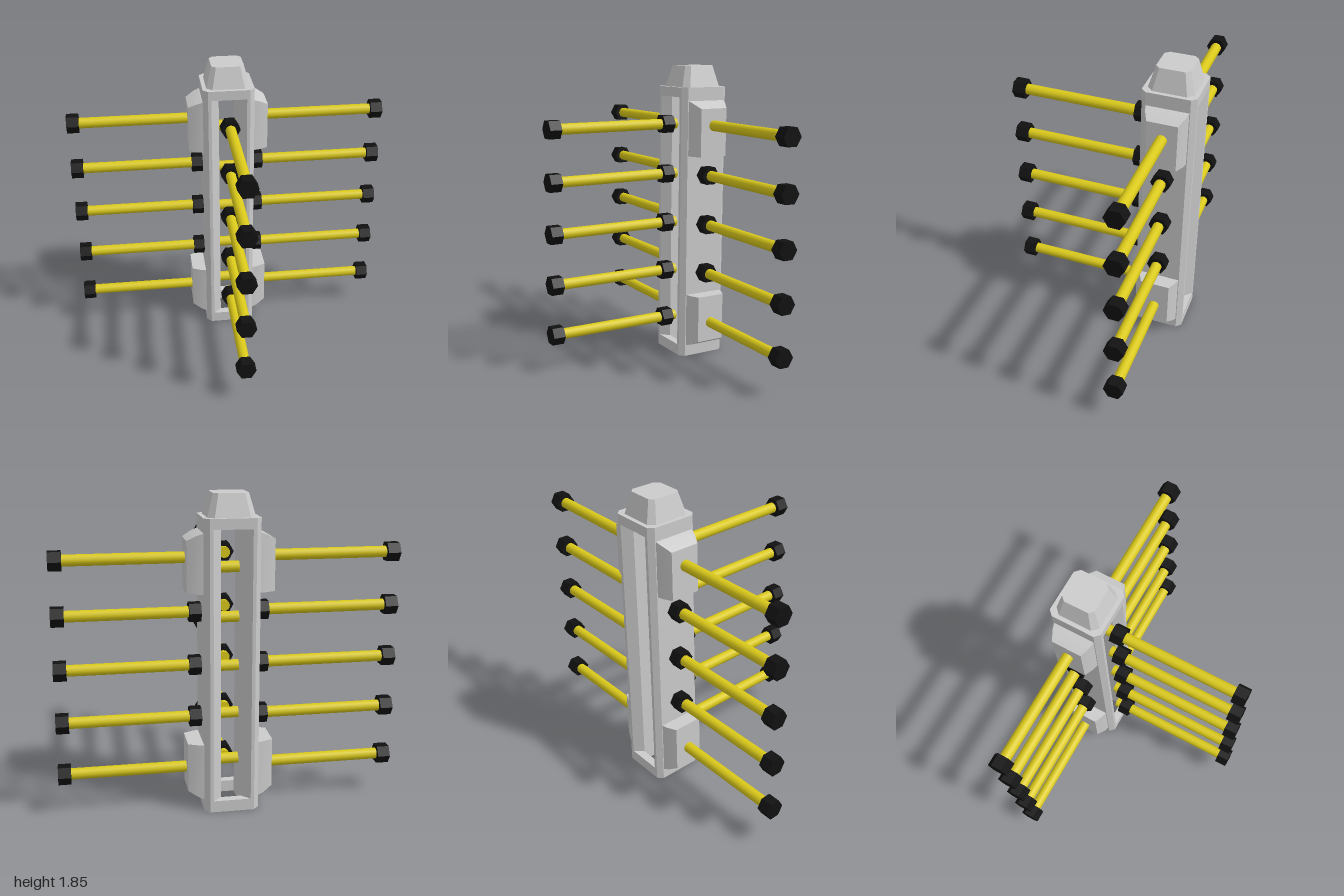
import * as THREE from 'three';
import { toCreasedNormals } from 'three/addons/utils/BufferGeometryUtils.js';

const grey = new THREE.MeshStandardMaterial({ color: 0xcccccc });
const yellow = new THREE.MeshStandardMaterial({ color: 0xd9c81a });
const black = new THREE.MeshStandardMaterial({ color: 0x111111, flatShading: true });

const POST_Z = -0.42;
const HALF = 0.16; // half width of the post
const POST_H = 1.72;

function add(parent, name, geometry, material, x = 0, y = 0, z = 0) {
  const mesh = new THREE.Mesh(geometry, material);
  mesh.name = name;
  mesh.position.set(x, y, z);
  parent.add(mesh);
  return mesh;
}

// Outline in plan (x, z), raised from y = 0 to the given height
function prism(points, height) {
  const shape = new THREE.Shape(points.map(([x, z]) => new THREE.Vector2(x, z)));
  const geo = new THREE.ExtrudeGeometry(shape, { depth: height, bevelEnabled: false });
  return geo.rotateX(-Math.PI / 2);
}

// Hollow post: two chamfered side walls joined by rails at the ends
function createPost() {
  const post = new THREE.Group();
  post.name = 'post';
  const wall = [[0.06, 0.11], [0.11, HALF], [0.13, HALF], [HALF, 0.13]];
  const outline = [...wall, ...wall.map(([x, z]) => [x, -z]).reverse()];
  for (const s of [1, -1]) {
    const points = outline.map(([x, z]) => [x * s, z]);
    add(post, s > 0 ? 'leftWall' : 'rightWall', prism(points, POST_H), grey);
    add(post, s > 0 ? 'frontSill' : 'backSill', new THREE.BoxGeometry(0.22, 0.07, 0.05),
      grey, 0, 0.035, s * 0.135);
  }
  add(post, 'topRail', new THREE.BoxGeometry(0.22, 0.06, 2 * HALF), grey, 0, POST_H - 0.03, 0);

  // Tapered cap with cut corners
  const a = 0.135, c = 0.1;
  const cap = prism([[a, c], [c, a], [-c, a], [-a, c], [-a, -c], [-c, -a], [c, -a], [a, -c]], 0.13);
  const p = cap.attributes.position;
  for (let i = 0; i < p.count; i++) {
    const k = 1 - 0.26 * (p.getY(i) / 0.13);
    p.setX(i, p.getX(i) * k);
    p.setZ(i, p.getZ(i) * k);
  }
  cap.computeVertexNormals();
  add(post, 'cap', cap, grey, 0, POST_H, 0);
  return post;
}

// Side housing: flat at its inner end (y = 0), sloped at the far end, narrowing outward
function podGeometry() {
  const geo = new THREE.BoxGeometry(0.11, 0.345, 0.26, 2, 1, 1);
  const p = geo.attributes.position;
  for (let i = 0; i < p.count; i++) {
    const t = p.getX(i) / 0.11 + 0.5;
    const narrow = t > 0.9 ? 0.7 : t > 0.4 ? 0.9 : 1;
    const drop = t > 0.9 ? 0.05 : t > 0.4 ? 0.02 : 0;
    p.setZ(i, p.getZ(i) * narrow);
    p.setY(i, p.getY(i) > 0 ? 0.345 - drop : 0);
    p.setX(i, 0.14 + 0.11 * t);
  }
  return toCreasedNormals(geo, 0.9);
}

// Peg pointing along +x, with a hexagonal end cap and an optional collar at its root
function createPeg(name, start, end, collar) {
  const peg = new THREE.Group();
  peg.name = name;
  const rod = new THREE.CylinderGeometry(0.033, 0.033, end - start, 16).rotateZ(Math.PI / 2);
  add(peg, 'rod', rod, yellow, (start + end) / 2 - 0.01);
  const hex = new THREE.CylinderGeometry(0.061, 0.061, 0.075, 6).rotateZ(Math.PI / 2);
  add(peg, 'endCap', hex, black, end - 0.0375);
  if (collar) add(peg, 'collar', hex, black, HALF + 0.0325);
  return peg;
}

export function createModel() {
  const model = new THREE.Group();
  model.name = 'pegRack';
  const body = new THREE.Group();
  body.name = 'body';
  body.position.z = POST_Z;
  model.add(body);
  body.add(createPost());

  // Housings at top and bottom of both sides
  const pod = podGeometry();
  for (const turn of [0, Math.PI]) {
    const side = turn ? 'right' : 'left';
    add(body, side + 'UpperHousing', pod, grey, 0, 1.3, 0).rotation.y = turn;
    // Turning over about z swaps the side as well as the height
    const lower = add(body, side + 'LowerHousing', pod, grey, 0, 0.41, 0);
    lower.rotation.set(Math.PI, turn, 0);
  }

  // Five rows of pegs to the left, right and front
  for (let i = 0; i < 5; i++) {
    const y = 0.235 + i * 0.314;
    const collar = i > 0 && i < 4;
    const left = createPeg('leftPeg', 0.1, 1, collar);
    const right = createPeg('rightPeg', 0.1, 1, collar);
    const front = createPeg('frontPeg', 0.13, 1, true);
    right.rotation.y = Math.PI;
    front.rotation.y = -Math.PI / 2;
    for (const peg of [left, right, front]) {
      peg.position.y = y;
      body.add(peg);
    }
    // Short crossbar inside the post
    const bar = new THREE.CylinderGeometry(0.033, 0.033, 0.14, 12).rotateZ(Math.PI / 2);
    add(body, 'crossbar', bar, yellow, 0, 0.27 + i * 0.29, 0);
  }
  return model;
}
